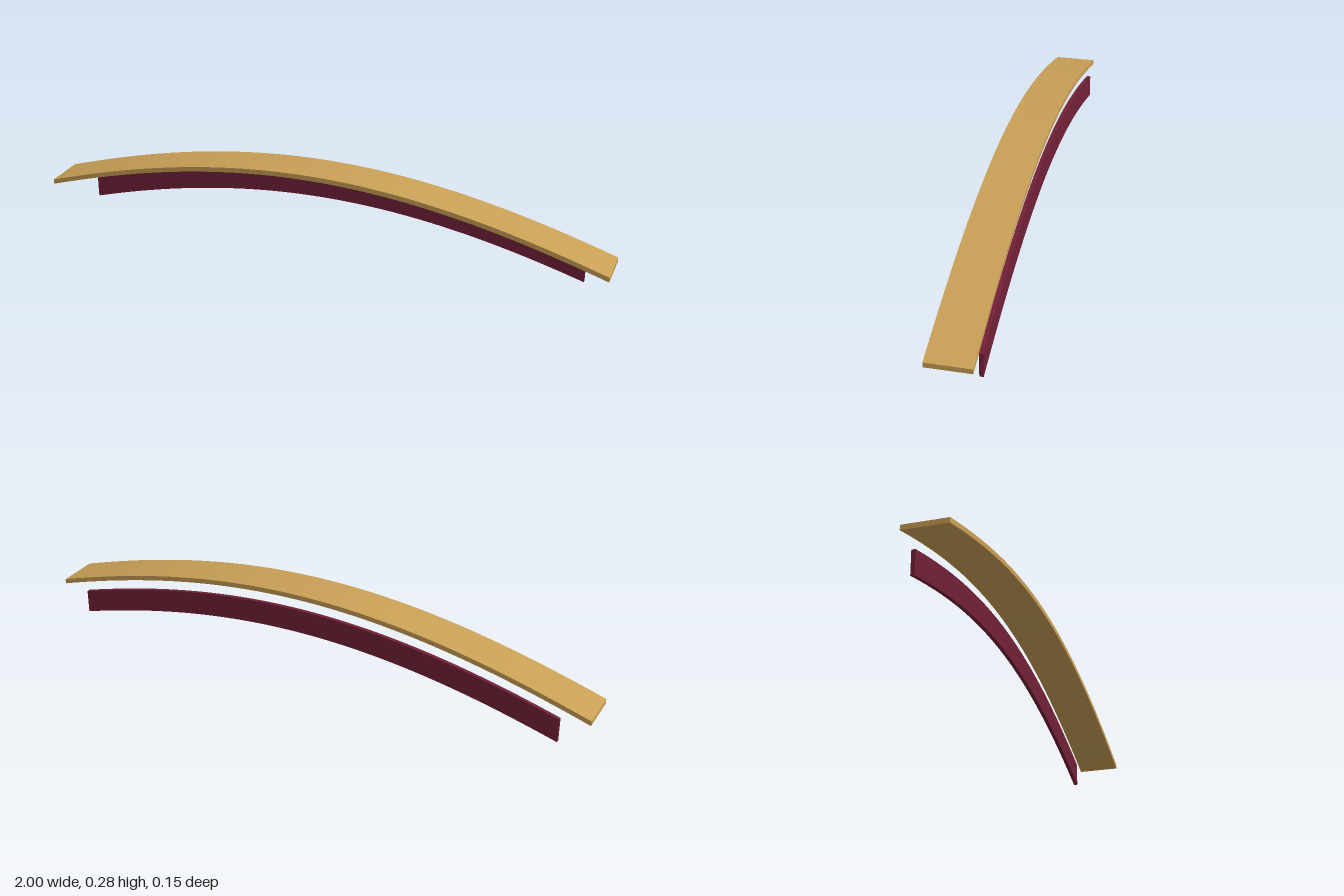
import * as THREE from 'three';

// Shared arch: how far the curve has dropped at distance x from the middle
const ARCH = 1.1;
const drop = (x) => 0.178 * (1 - Math.cos(ARCH * x)) / (1 - Math.cos(ARCH));

// A box strip bent down along the arch, with vertical ends and sharp edges
function archedStrip(name, material, { length, bottom, top, back, front }) {
  const geometry = new THREE.BoxGeometry(length, top - bottom, front - back, 64, 1, 1);
  geometry.translate(0, (top + bottom) / 2, (front + back) / 2);
  const position = geometry.attributes.position;
  for (let i = 0; i < position.count; i++) {
    position.setY(i, position.getY(i) - drop(position.getX(i)));
  }
  geometry.computeVertexNormals();
  const mesh = new THREE.Mesh(geometry, material);
  mesh.name = name;
  return mesh;
}

export function createModel() {
  const gold = new THREE.MeshStandardMaterial({ color: 0xc9a056 });
  gold.name = 'gold';
  const maroon = new THREE.MeshStandardMaterial({ color: 0x722036 });
  maroon.name = 'maroon';

  const model = new THREE.Group();
  model.name = 'archedCanopy';

  // Wide, thin cap along the top
  model.add(archedStrip('archedCap', gold,
    { length: 2, bottom: 0.269, top: 0.286, back: -0.071, front: 0.075 }));

  // Tall, thin band hanging below the back edge
  model.add(archedStrip('backBand', maroon,
    { length: 1.8, bottom: 0.149, top: 0.232, back: -0.075, front: -0.062 }));

  return model;
}
